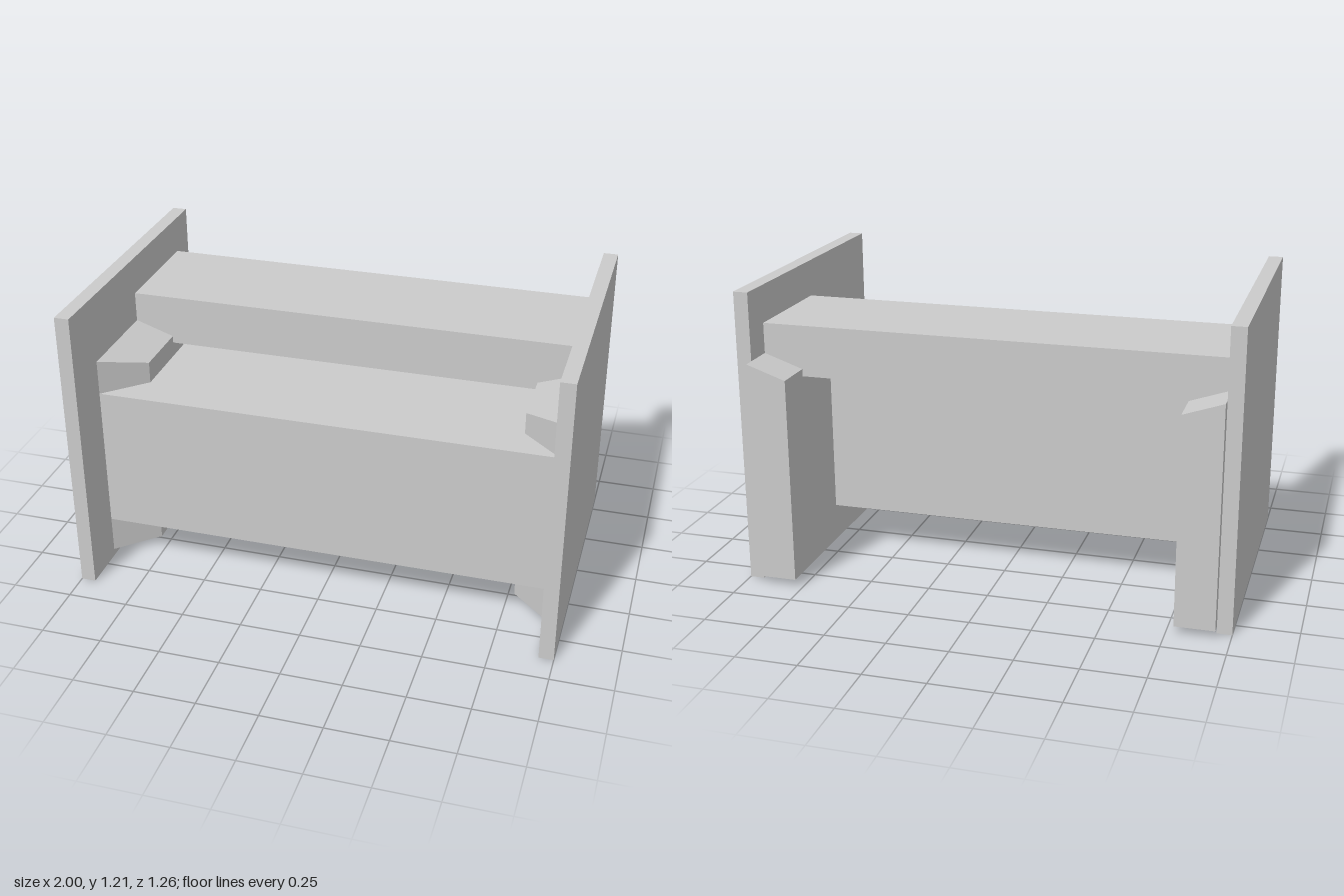
import * as THREE from 'three';

const grey = new THREE.MeshStandardMaterial({ color: 0xcccccc });

// Box given by its lower and upper limits on each axis
function block(name, [x0, x1], [y0, y1], [z0, z1]) {
  const geo = new THREE.BoxGeometry(x1 - x0, y1 - y0, z1 - z0);
  geo.translate((x0 + x1) / 2, (y0 + y1) / 2, (z0 + z1) / 2);
  const mesh = new THREE.Mesh(geo, grey);
  mesh.name = name;
  return mesh;
}

// Inner support: its top slopes down and its front is cut back towards the middle
function support(name, side) {
  const xs = side > 0 ? [0.78, 0.94] : [-0.94, -0.78];
  const mesh = block(name, xs, [0.03, 0.935], [-0.63, 0.43]);
  const pos = mesh.geometry.attributes.position;
  for (let i = 0; i < pos.count; i++) {
    if (Math.abs(pos.getX(i)) > 0.86) continue;
    if (pos.getY(i) > 0.5) pos.setY(i, 0.88);
    if (pos.getZ(i) > 0) pos.setZ(i, 0.28);
  }
  mesh.geometry.computeVertexNormals();
  return mesh;
}

export function createModel() {
  const model = new THREE.Group();
  model.name = 'bench';

  // Long members between the side panels
  model.add(block('upperBeam', [-0.94, 0.94], [0.85, 1.06], [-0.46, 0.02]));
  model.add(block('lowerBody', [-0.94, 0.94], [0.185, 0.79], [-0.18, 0.43]));

  // Side panels and their inner supports
  for (const side of [1, -1]) {
    const label = side > 0 ? 'left' : 'right';
    const xs = side > 0 ? [0.94, 1] : [-1, -0.94];
    model.add(block(label + 'SidePanel', xs, [0, 1.213], [-0.585, 0.63]));
    model.add(support(label + 'Support', side));
  }
  return model;
}
